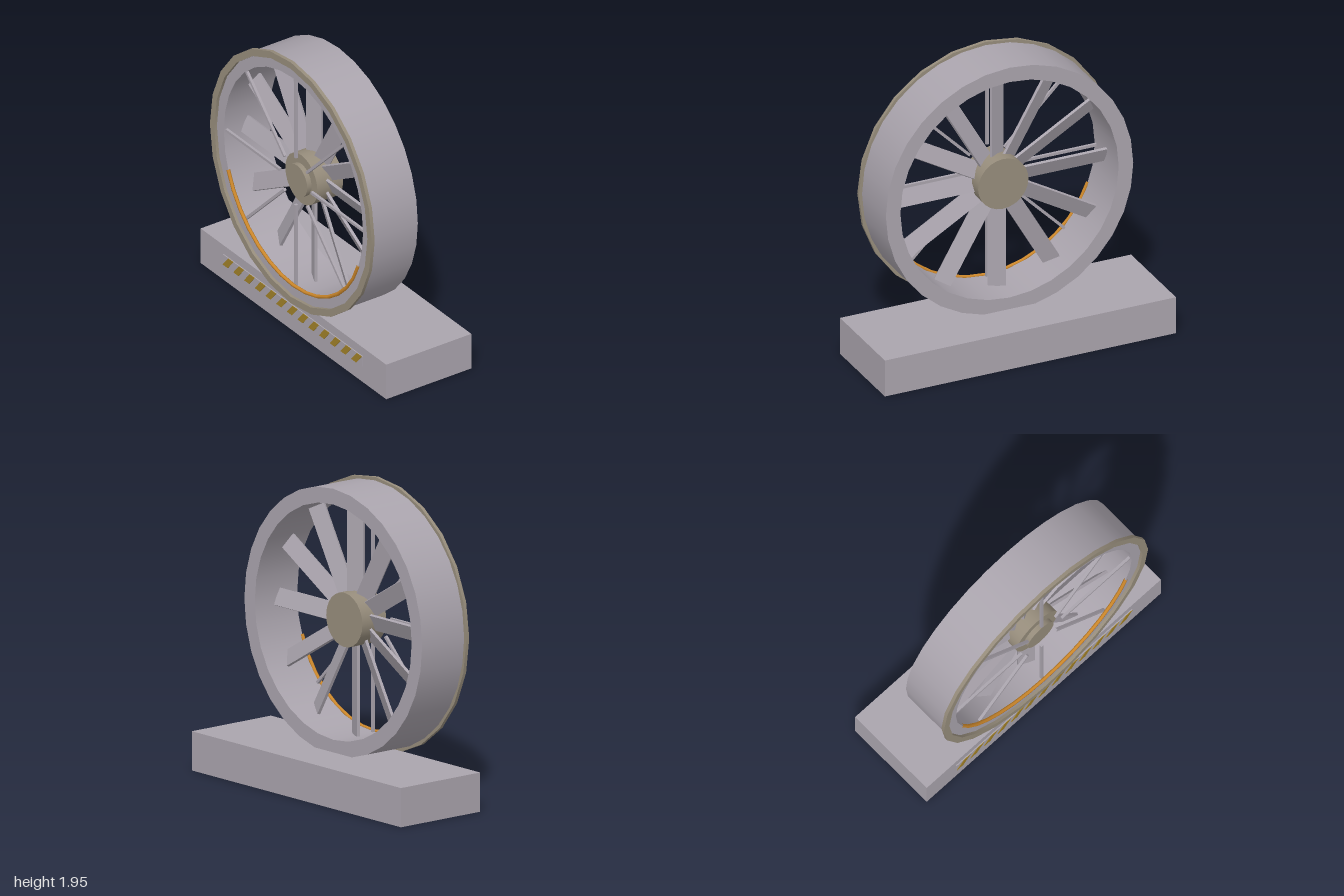
import * as THREE from 'three';
import { mergeGeometries } from 'three/addons/utils/BufferGeometryUtils.js';

const mat = (name, color) => Object.assign(new THREE.MeshStandardMaterial({ color }), { name });

// Square-edged ring around the z axis, smooth around and sharp at the rims
function ringGeometry(inner, outer, z0, z1, sides) {
  const corners = [[outer, z0], [outer, z1], [inner, z1], [inner, z0]].map(p => new THREE.Vector2(...p));
  const walls = corners.map((p, i) => new THREE.LatheGeometry([p, corners[(i + 1) % 4]], sides));
  return mergeGeometries(walls).rotateX(Math.PI / 2);
}

// Solid disc between two depths
function discGeometry(radius, z0, z1) {
  return new THREE.CylinderGeometry(radius, radius, z1 - z0, 24)
    .rotateX(Math.PI / 2).translate(0, 0, (z0 + z1) / 2);
}

export function createModel() {
  const grey = mat('paintedGrey', 0xaaa4ad);
  const tan = mat('tanMetal', 0x978d7c);
  const orange = mat('orangeGlow', 0xd08a2c);
  const yellow = mat('hazardYellow', 0xa08028);

  const model = new THREE.Group();
  const add = (parent, name, geometry, material) => {
    const mesh = new THREE.Mesh(geometry, material);
    mesh.name = name;
    parent.add(mesh);
    return mesh;
  };

  // Base block with hazard plate on its front
  add(model, 'base', new THREE.BoxGeometry(2, 0.25, 0.645).translate(0, 0.125, -0.0075), grey);
  add(model, 'hazardPlate', new THREE.BoxGeometry(1.5, 0.072, 0.008).translate(0, 0.152, 0.318), grey);
  const pitch = 1.5 / 13;
  for (let i = 0; i < 13; i++) {
    const x = -0.75 + i * pitch;
    const stripe = new THREE.Shape([[0, 0.116], [0.055, 0.116], [0.115, 0.188], [0.06, 0.188]]
      .map(([dx, y]) => new THREE.Vector2(x + dx, y)));
    add(model, 'hazardStripe', new THREE.ExtrudeGeometry(stripe, { depth: 0.003, bevelEnabled: false })
      .translate(0, 0, 0.322), yellow);
  }

  // Fan assembly
  const fan = new THREE.Group();
  fan.name = 'fan';
  fan.position.y = 1.08;
  model.add(fan);
  add(fan, 'housing', ringGeometry(0.75, 0.85, -0.03, 0.315, 32), grey);
  add(fan, 'frontFlange', ringGeometry(0.825, 0.872, 0.312, 0.335, 24), tan);
  add(fan, 'hub', discGeometry(0.173, 0.06, 0.255), tan);
  add(fan, 'hubCap', discGeometry(0.11, 0.255, 0.288), tan);

  // Glowing strip along the lower inner edge
  const sweep = THREE.MathUtils.degToRad(140);
  add(fan, 'lightStrip', new THREE.TorusGeometry(0.748, 0.012, 6, 14, sweep)
    .rotateZ(THREE.MathUtils.degToRad(200)), orange);
  fan.children.at(-1).position.z = 0.315;

  // Pitched blades
  const blade = new THREE.BoxGeometry(0.6, 0.113, 0.018)
    .rotateX(THREE.MathUtils.degToRad(25)).translate(0.45, 0, 0.155);
  for (let i = 0; i < 12; i++) add(fan, 'blade', blade, grey).rotation.z = i * Math.PI / 6;

  // Thin guard struts in front of the blades
  const strut = new THREE.BoxGeometry(0.59, 0.018, 0.018).translate(0.465, 0, 0.295);
  for (let i = 0; i < 8; i++) add(fan, 'guardStrut', strut, grey).rotation.z = i * Math.PI / 4;

  return model;
}
